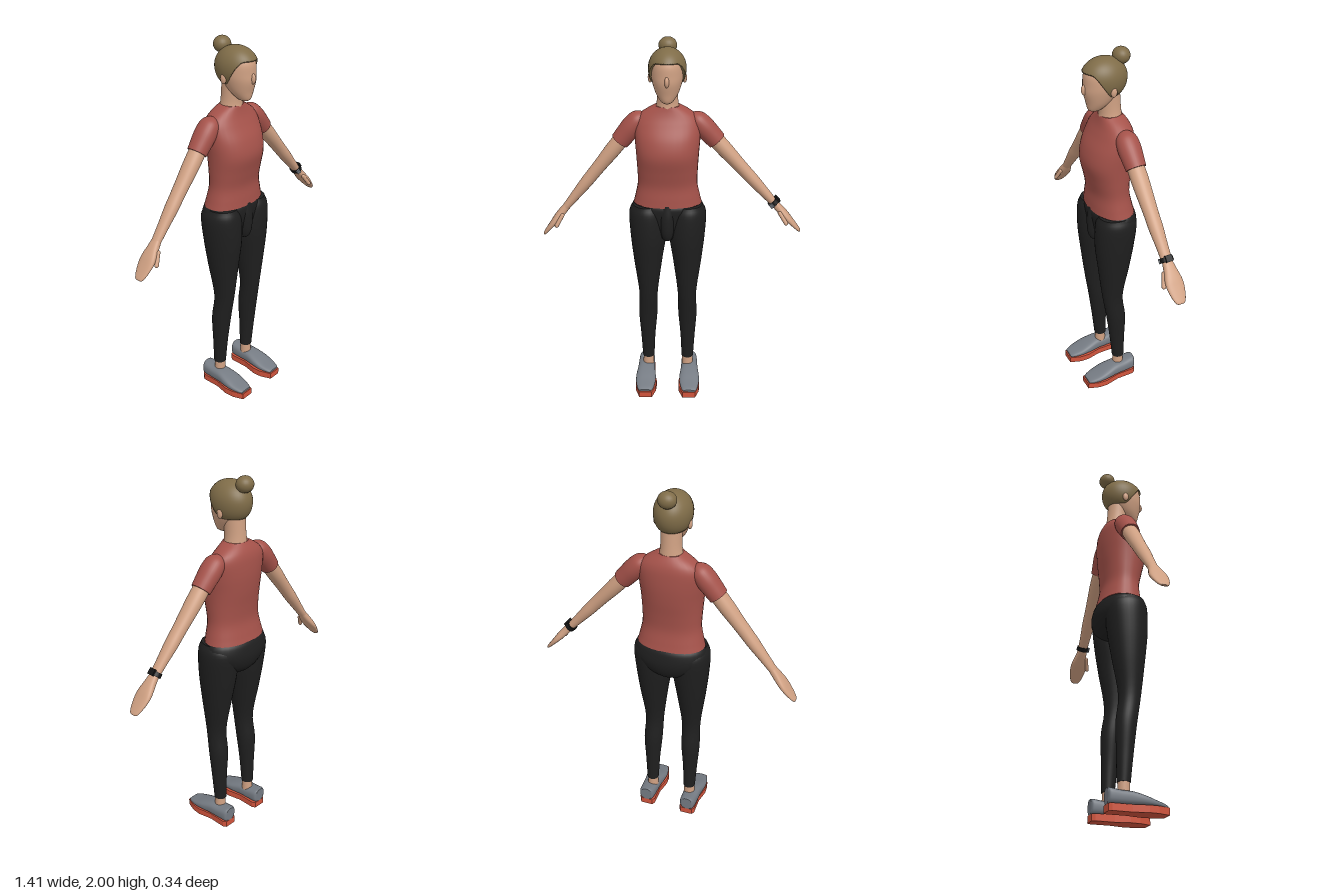
import * as THREE from 'three';

const mat = (name, color) => {
  const m = new THREE.MeshStandardMaterial({ color });
  m.name = name;
  return m;
};

// Smooth body from stacked ovals. Row: [y, x0, x1, z0, z1], the extents of the oval at that height.
function loft(rows, power = 2, steps = 5, seg = 32) {
  const sorted = [...rows].sort((a, b) => a[0] - b[0]);
  const cx = new THREE.CatmullRomCurve3(sorted.map(r => new THREE.Vector3(r[0], r[1], r[2])), false, 'catmullrom', 0.5);
  const cz = new THREE.CatmullRomCurve3(sorted.map(r => new THREE.Vector3(r[0], r[3], r[4])), false, 'catmullrom', 0.5);
  const n = (sorted.length - 1) * steps;
  const pos = [], index = [];
  const round = v => Math.sign(v) * Math.abs(v) ** (2 / power);
  const ring = t => {
    const a = cx.getPoint(t), b = cz.getPoint(t);
    for (let j = 0; j < seg; j++) {
      const w = (j / seg) * Math.PI * 2;
      pos.push((a.y + a.z) / 2 + round(Math.sin(w)) * (a.z - a.y) / 2, a.x,
        (b.y + b.z) / 2 + round(Math.cos(w)) * (b.z - b.y) / 2);
    }
    return [(a.y + a.z) / 2, a.x, (b.y + b.z) / 2];
  };
  for (let i = 0; i <= n; i++) ring(i / n);
  for (let i = 0; i < n; i++) for (let j = 0; j < seg; j++) {
    const k = (j + 1) % seg, a = i * seg, b = a + seg;
    index.push(a + j, a + k, b + k, a + j, b + k, b + j);
  }
  // End caps with their own vertices keep the rims sharp
  for (const t of [0, 1]) {
    const s = pos.length / 3;
    pos.push(...ring(t));
    for (let j = 0; j < seg; j++) {
      const k = (j + 1) % seg;
      if (t) index.push(s + j, s + k, s + seg); else index.push(s + k, s + j, s + seg);
    }
  }
  const g = new THREE.BufferGeometry();
  g.setAttribute('position', new THREE.Float32BufferAttribute(pos, 3));
  g.setIndex(index);
  g.computeVertexNormals();
  return g;
}

// Rows centred on x: [y, halfWidth, z0, z1]
const centred = rows => rows.map(([y, h, z0, z1]) => [y, -h, h, z0, z1]);
// Limb rows centred on the axis: [distance down, halfX, halfZ]
const limb = rows => rows.map(([t, h, d]) => [-t, -h, h, -d, d]);

// Hair cap whose lower edge rises over the face
function hairGeometry() {
  const seg = 48, rows = 18, pos = [], index = [];
  for (let i = 0; i <= rows + 1; i++) for (let j = 0; j < seg; j++) {
    const a = (j / seg) * Math.PI * 2;
    const edge = 1.785 + 0.12 * THREE.MathUtils.smoothstep(Math.cos(a), -0.1, 0.85);
    const th = Math.acos((edge - 1.865) / 0.103) * Math.min(i / rows, 1);
    const s = (th > Math.PI / 2 ? Math.sin(th) ** 0.7 : Math.sin(th)) * (i > rows ? 0.82 : 1);
    pos.push(0.096 * s * Math.sin(a), 1.865 + 0.103 * Math.cos(th), -0.012 + 0.12 * s * Math.cos(a));
  }
  for (let i = 0; i <= rows; i++) for (let j = 0; j < seg; j++) {
    const k = (j + 1) % seg, a = i * seg, b = a + seg;
    index.push(b + j, b + k, a + k, b + j, a + k, a + j);
  }
  const g = new THREE.BufferGeometry();
  g.setAttribute('position', new THREE.Float32BufferAttribute(pos, 3));
  g.setIndex(index);
  g.computeVertexNormals();
  return g;
}

export function createModel() {
  const skin = mat('skin', 0xd0a183), shirt = mat('shirt red', 0xa5524a), pants = mat('legging black', 0x1f1f1f);
  const hair = mat('hair brown', 0x7f6c48), grey = mat('shoe grey', 0x757b83), red = mat('sole red', 0xd2553d);
  const black = mat('watch black', 0x151515);

  const model = new THREE.Group();
  const body = new THREE.Group();
  body.name = 'body';
  body.position.x = -0.012;
  model.add(body);
  const add = (name, geo, material, parent = body) => {
    const m = new THREE.Mesh(geo, material);
    m.name = name;
    parent.add(m);
    return m;
  };
  const ball = (name, material, p, r, parent) => {
    const m = add(name, new THREE.SphereGeometry(1, 24, 16), material, parent);
    m.position.set(...p);
    m.scale.set(...r);
    return m;
  };

  // Torso
  add('shirt', loft(centred([
    [1.14, 0.182, -0.152, 0.074], [1.18, 0.172, -0.142, 0.071], [1.25, 0.158, -0.128, 0.067],
    [1.33, 0.159, -0.132, 0.083], [1.42, 0.164, -0.143, 0.102], [1.5, 0.17, -0.148, 0.086],
    [1.57, 0.17, -0.145, 0.05], [1.61, 0.152, -0.138, 0.03], [1.64, 0.115, -0.125, 0.019],
    [1.668, 0.066, -0.105, 0.012]]), 2.2), shirt);

  // Hips and the front panel of the leggings
  add('hips', loft(centred([
    [1.15, 0.17, -0.146, 0.066], [1.12, 0.192, -0.163, 0.076], [1.06, 0.195, -0.171, 0.07],
    [1.0, 0.15, -0.155, 0.06], [0.955, 0.085, -0.115, 0.05], [0.935, 0.03, -0.06, 0.03]])), pants);
  add('frontPanel', loft(centred([
    [1.15, 0.04, 0, 0.074], [1.08, 0.042, 0, 0.085], [1.0, 0.036, 0, 0.084],
    [0.955, 0.026, 0, 0.07], [0.94, 0.014, 0.01, 0.05]])), pants);

  // Neck, head and hair
  add('neck', loft(centred([
    [1.64, 0.066, -0.108, 0.018], [1.675, 0.057, -0.104, 0.012], [1.72, 0.053, -0.1, 0.014],
    [1.8, 0.053, -0.095, 0.02]])), skin);
  add('head', loft(centred([
    [1.7, 0.016, 0.02, 0.06], [1.712, 0.033, -0.005, 0.075], [1.75, 0.058, -0.05, 0.084],
    [1.8, 0.075, -0.09, 0.096], [1.84, 0.081, -0.1, 0.096], [1.89, 0.079, -0.1, 0.092],
    [1.925, 0.065, -0.08, 0.07], [1.95, 0.02, -0.03, 0.02]])), skin);
  ball('nose', skin, [0, 1.818, 0.091], [0.012, 0.028, 0.02]);
  add('hair', hairGeometry(), hair);
  ball('hairBun', hair, [0, 1.958, -0.106], [0.047, 0.042, 0.044]);

  for (const [side, s, angle] of [['left', 1, 0.737], ['right', -1, -0.675]]) {
    ball(side + 'Ear', skin, [s * 0.087, 1.815, -0.022], [0.011, 0.026, 0.017]);

    // Leg and ankle
    const mirror = rows => rows.map(([y, a, b, z0, z1]) => [y, Math.min(s * a, s * b), Math.max(s * a, s * b), z0, z1]);
    add(side + 'Leg', loft(mirror([
      [1.135, 0.035, 0.187, -0.11, 0.066], [1.08, 0.01, 0.207, -0.14, 0.084], [0.95, 0.008, 0.201, -0.13, 0.087],
      [0.8, 0.03, 0.185, -0.105, 0.072], [0.6, 0.056, 0.16, -0.07, 0.048], [0.45, 0.06, 0.164, -0.085, 0.024],
      [0.3, 0.073, 0.155, -0.082, 0.005], [0.15, 0.08, 0.147, -0.08, -0.011]])), pants);
    const ankle = add(side + 'Ankle', new THREE.CylinderGeometry(0.029, 0.032, 0.1, 24), skin);
    ankle.position.set(s * 0.114, 0.12, -0.045);

    // Shoe, lofted from heel to toe: [z, halfWidth, top, bottom]
    const shoe = loft(centred([
      [-0.137, 0.03, -0.113, -0.035], [-0.125, 0.043, -0.115, -0.03], [-0.07, 0.047, -0.107, -0.03],
      [-0.01, 0.05, -0.104, -0.03], [0.05, 0.057, -0.088, -0.03], [0.1, 0.055, -0.07, -0.03],
      [0.145, 0.044, -0.056, -0.03], [0.165, 0.033, -0.047, -0.033]]), 2.7);
    shoe.rotateX(Math.PI / 2);
    add(side + 'Shoe', shoe, grey).position.x = s * 0.126;

    // Sole plate with a broad forefoot
    const half = [[0.034, 0.137], [0.045, 0.12], [0.044, 0.02], [0.061, -0.06], [0.058, -0.11], [0.036, -0.172]];
    const outline = [...half, ...half.map(([x, z]) => [-x, z]).reverse()].map(p => new THREE.Vector2(...p));
    const sole = new THREE.ExtrudeGeometry(new THREE.Shape(outline), { depth: 0.036, bevelEnabled: false });
    sole.rotateX(-Math.PI / 2);
    add(side + 'Sole', sole, red).position.x = s * 0.124;

    // Arm hangs along its own -y axis and swings out from the shoulder
    const arm = new THREE.Group();
    arm.name = side + 'ArmGroup';
    arm.position.set(s * 0.165, 1.575, -0.056);
    arm.rotation.z = angle;
    body.add(arm);
    add(side + 'Sleeve', loft(limb([
      [-0.062, 0.008, 0.01], [-0.05, 0.028, 0.034], [-0.02, 0.048, 0.054], [0.03, 0.055, 0.06],
      [0.09, 0.053, 0.056], [0.135, 0.05, 0.052]])), shirt, arm);
    add(side + 'Arm', loft(limb([
      [0.1, 0.042, 0.044], [0.2, 0.041, 0.045], [0.3, 0.036, 0.041], [0.37, 0.034, 0.038],
      [0.44, 0.032, 0.037], [0.53, 0.026, 0.031], [0.62, 0.02, 0.027]])), skin, arm);
    add(side + 'Hand', loft(limb([
      [0.61, 0.019, 0.026], [0.65, 0.021, 0.033], [0.7, 0.02, 0.045], [0.74, 0.016, 0.047],
      [0.79, 0.011, 0.037], [0.818, 0.008, 0.025], [0.826, 0.004, 0.014]]), 2.4), skin, arm);
    const thumb = add(side + 'Thumb', new THREE.CapsuleGeometry(0.011, 0.065, 6, 12), skin, arm);
    thumb.position.set(-s * 0.014, -0.692, 0.042);
    thumb.rotation.set(-0.28, 0, -s * 0.15);

    // Watch on the left wrist
    if (s > 0) {
      const band = add('watchBand', new THREE.CylinderGeometry(0.029, 0.03, 0.024, 24), black, arm);
      band.position.y = -0.6;
      band.scale.z = 1.2;
      const face = add('watchCase', new THREE.BoxGeometry(0.012, 0.034, 0.036), black, arm);
      face.position.set(0.028, -0.6, 0);
      const clasp = add('watchClasp', new THREE.BoxGeometry(0.022, 0.026, 0.008), grey, arm);
      clasp.position.set(-0.014, -0.6, 0.033);
      clasp.rotation.y = -0.4;
    }
  }
  return model;
}
